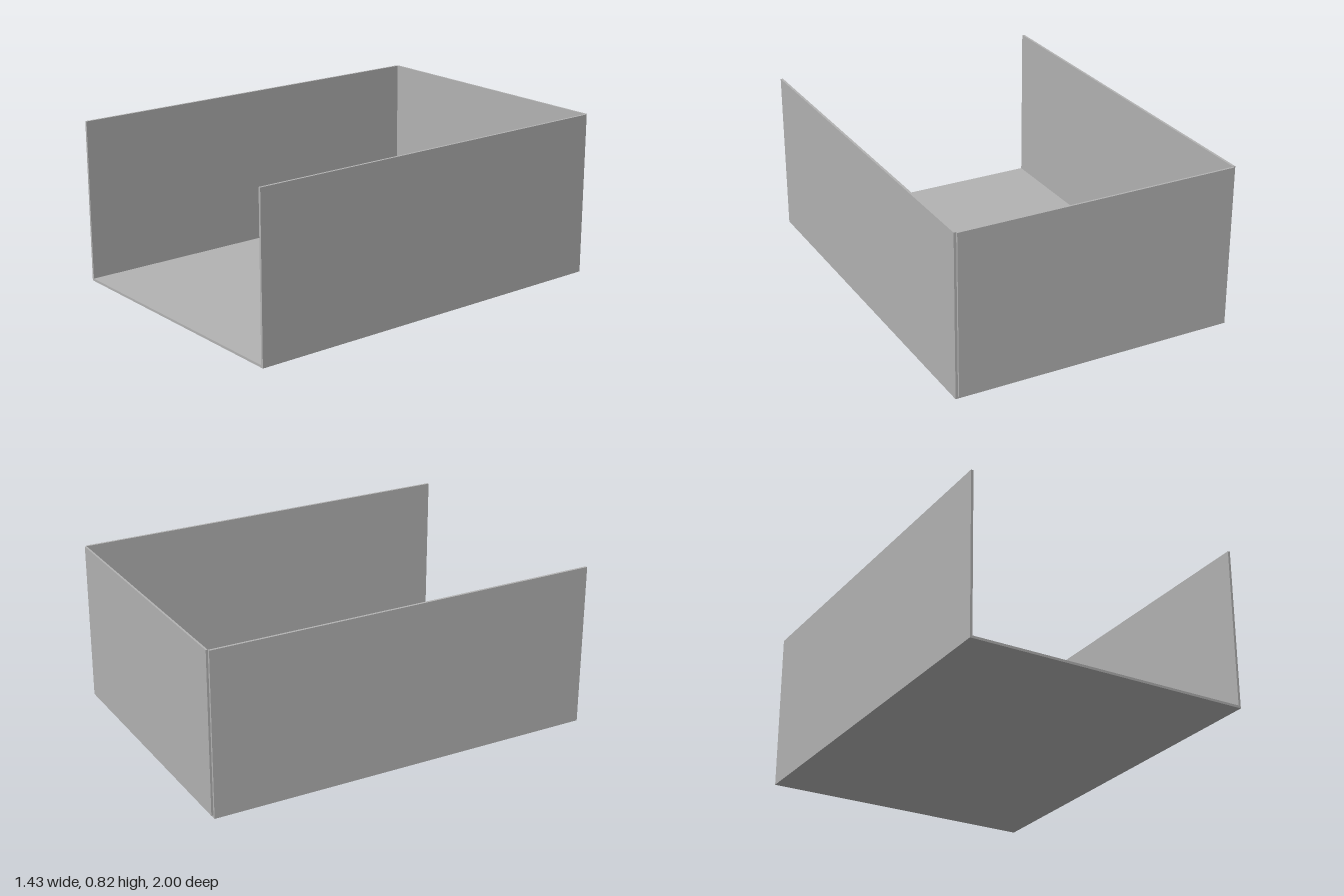
import * as THREE from 'three';

export function createModel() {
  const group = new THREE.Group();
  const grey = new THREE.MeshStandardMaterial({ color: 0xb2b2b2 });
  grey.name = 'plain grey';

  // Box given by its extents along each axis
  function block(name, [x0, x1], [y0, y1], [z0, z1], parent = group) {
    const mesh = new THREE.Mesh(new THREE.BoxGeometry(x1 - x0, y1 - y0, z1 - z0), grey);
    mesh.position.set((x0 + x1) / 2, (y0 + y1) / 2, (z0 + z1) / 2);
    mesh.name = name;
    parent.add(mesh);
  }

  // Open-fronted room shell
  block('floor', [-0.705, 0.705], [0, 0.012], [-0.99, 1]);
  block('rightWall', [-0.717, -0.705], [0, 0.82], [-0.99, 1]);
  block('leftWall', [0.705, 0.717], [0, 0.82], [-0.99, 1]);
  block('backWall', [-0.705, 0.705], [0.012, 0.82], [-1, -0.99]);

  // Desk: top on two panel legs
  const desk = new THREE.Group();
  desk.name = 'desk';
  group.add(desk);
  const deskX = [-0.705, -0.503];
  block('deskTop', deskX, [0.19, 0.203], [-0.795, -0.43], desk);
  block('deskFrontLeg', deskX, [0.012, 0.19], [-0.44, -0.43], desk);
  block('deskBackLeg', deskX, [0.012, 0.19], [-0.795, -0.785], desk);

  // Machines standing on the desk
  const machines = new THREE.Group();
  machines.name = 'machines';
  group.add(machines);
  const caseX = [-0.688, -0.587];
  block('frontMachine', caseX, [0.203, 0.292], [-0.535, -0.457], machines);
  block('middleMachine', caseX, [0.203, 0.302], [-0.665, -0.57], machines);
  block('backMachine', caseX, [0.203, 0.288], [-0.75, -0.707], machines);

  // Three slats on the front machine
  for (const y of [0.228, 0.247, 0.266]) {
    block('slat', [-0.587, -0.58], [y - 0.003, y + 0.003], [-0.52, -0.472], machines);
  }
  return group;
}
